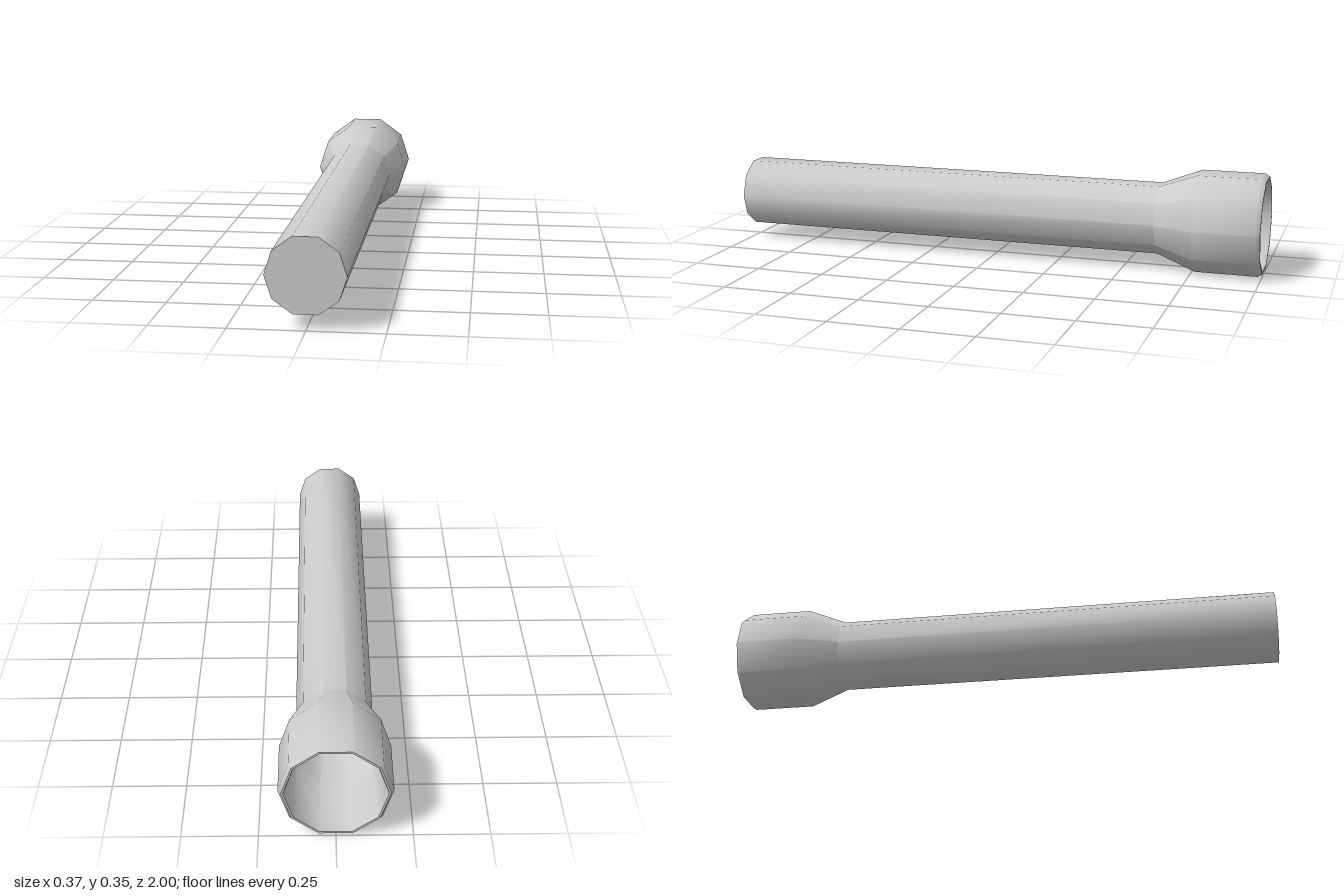
import * as THREE from 'three';
import { toCreasedNormals } from 'three/addons/utils/BufferGeometryUtils.js';

const SIDES = 10;
const CENTRE_Y = 0.177;

// Ten-sided turned part lying along z; profile points are [radius, z]
function turned(name, profile, material) {
  const points = profile.map(([r, z]) => new THREE.Vector2(r, z));
  const lathe = new THREE.LatheGeometry(points, SIDES, Math.PI / 2, Math.PI * 2);
  lathe.rotateX(Math.PI / 2);
  const mesh = new THREE.Mesh(toCreasedNormals(lathe, THREE.MathUtils.degToRad(40)), material);
  mesh.name = name;
  mesh.position.y = CENTRE_Y;
  return mesh;
}

export function createModel() {
  const group = new THREE.Group();
  group.name = 'flashlight';
  const grey = new THREE.MeshStandardMaterial({ color: 0xcccccc });

  // Bevelled rim, wide head, flared neck, long handle and flat end cap
  group.add(turned('casing', [
    [0.175, -1], [0.185, -0.985], [0.185, -0.76], [0.13, -0.62], [0.13, 1], [0, 1],
  ], grey));

  // Hollow inside of the head, out to the rim
  group.add(turned('headCavity', [
    [0, -0.64], [0.115, -0.64], [0.163, -0.76], [0.163, -0.985], [0.168, -1], [0.175, -1],
  ], grey));

  return group;
}
